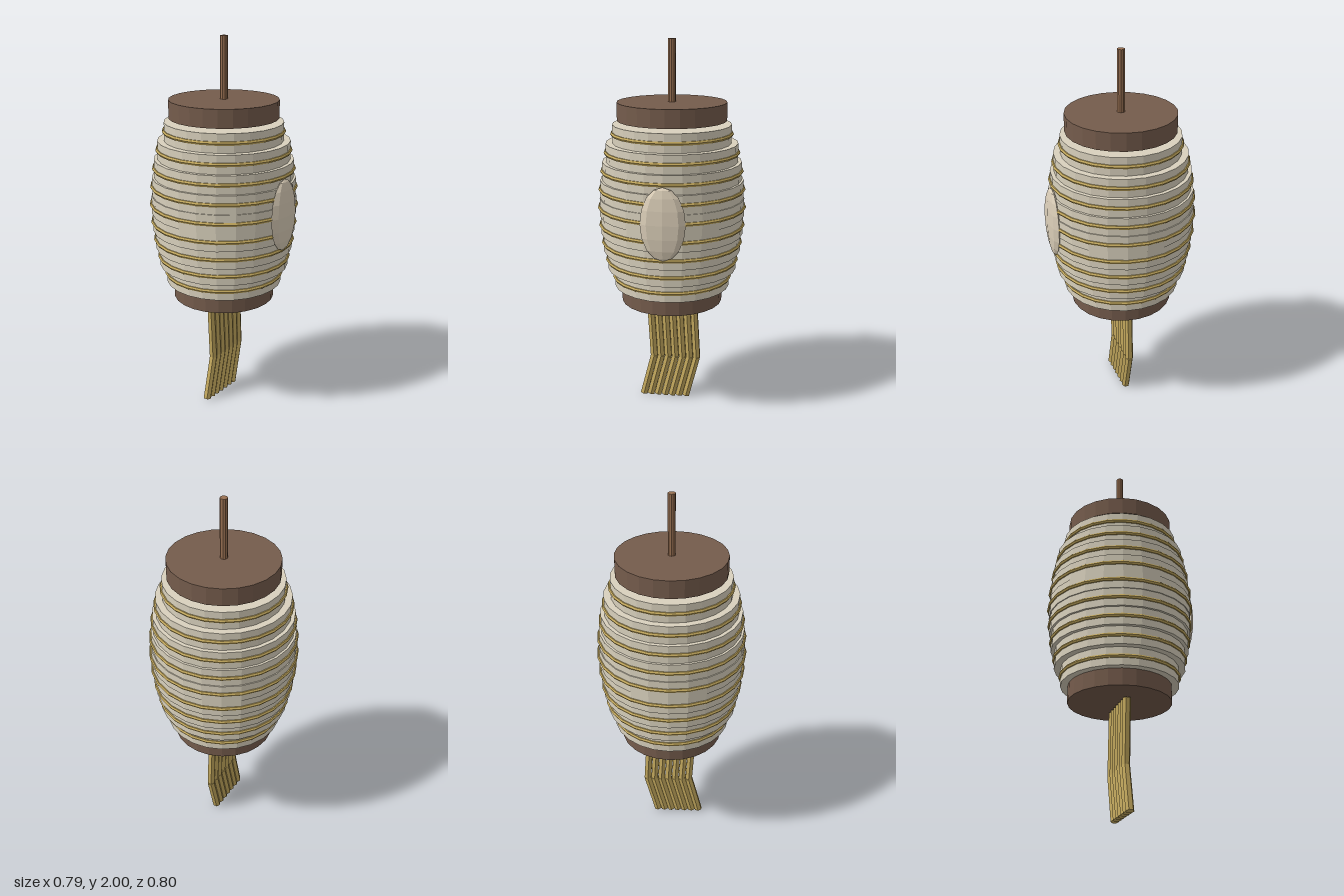
import * as THREE from 'three';

const mat = (name, color) => {
  const m = new THREE.MeshStandardMaterial({ color, flatShading: true });
  m.name = name;
  return m;
};

export function createModel() {
  const paper = mat('cream paper', 0xd9d1bd);
  const patchCream = mat('warm cream', 0xdccfb9);
  const gold = mat('gold', 0xc4a95e);
  const darkWood = mat('dark wood', 0x755c4c);
  const lightWood = mat('light wood', 0x987052);

  const model = new THREE.Group();
  model.name = 'paperLantern';
  const add = (name, geometry, material, x = 0, y = 0, z = 0) => {
    const mesh = new THREE.Mesh(geometry, material);
    mesh.name = name;
    mesh.position.set(x, y, z);
    model.add(mesh);
    return mesh;
  };

  // Stepped paper body with a gold rib around the middle of each band
  const radii = [0.312, 0.348, 0.368, 0.38, 0.385, 0.38, 0.368, 0.348, 0.312];
  const pitch = 0.0975;
  radii.forEach((r, i) => {
    const y = 1.128 + (4 - i) * pitch;
    add('paperBand', new THREE.CylinderGeometry(r, r, pitch, 24), paper, 0, y);
    const rib = add('goldRib', new THREE.TorusGeometry(r, 0.011, 6, 24), gold, 0, y);
    rib.rotation.x = Math.PI / 2;
  });

  // Wooden end caps and hanging rod
  add('topCap', new THREE.CylinderGeometry(0.287, 0.287, 0.095, 24), darkWood, 0, 1.633);
  add('bottomCap', new THREE.CylinderGeometry(0.273, 0.273, 0.092, 24), darkWood, 0, 0.645);
  add('hangingRod', new THREE.CylinderGeometry(0.02, 0.02, 0.322, 10), lightWood, 0, 1.839);

  // Oval medallion on the front
  const medallion = add('medallion', new THREE.SphereGeometry(1, 8, 8), patchCream, 0, 1.125, 0.376);
  medallion.scale.set(0.115, 0.19, 0.03);

  // Tassel strands, each bent once
  const strandPiece = (name, x0, y0, x1, y1) => {
    const dx = x0 - x1, dy = y0 - y1;
    const piece = add(name, new THREE.CylinderGeometry(0.022, 0.022, Math.hypot(dx, dy), 6),
      gold, (x0 + x1) / 2, (y0 + y1) / 2);
    piece.rotation.z = -Math.atan2(dx, dy);
  };
  for (let i = -3; i <= 3; i++) {
    const x = i * 0.04;
    strandPiece('upperStrand', x, 0.59, x + 0.02, 0.246);
    strandPiece('lowerStrand', x + 0.02, 0.246, x - 0.04, 0.007);
  }

  model.children.forEach((part) => { part.position.z -= 0.006; });
  return model;
}
